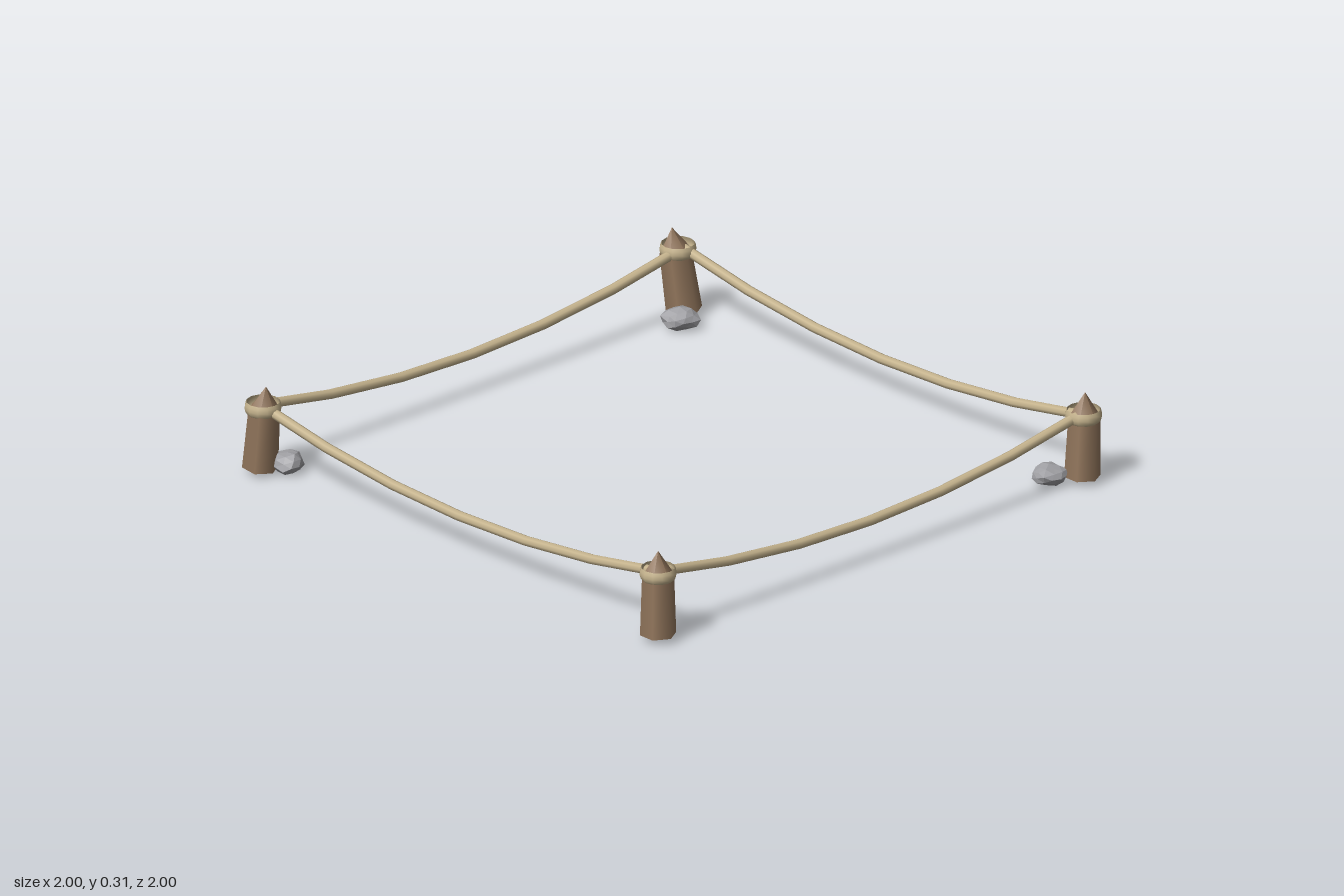
import * as THREE from 'three';

const wood = new THREE.MeshStandardMaterial({ color: 0x93775d });
wood.name = 'wood';
const rope = new THREE.MeshStandardMaterial({ color: 0xc6b48e });
rope.name = 'rope';
rope.side = THREE.DoubleSide;
const stone = new THREE.MeshStandardMaterial({ color: 0xa0a0a4 });
stone.name = 'stone';
stone.flatShading = true;

const P = 0.937;      // post distance from the centre
const R = 0.933;      // rope distance from the centre
const BASE = 0.02;    // underside of the posts
const KNOT = 0.235;   // height where the ropes are tied

function add(parent, name, geometry, material) {
  const mesh = new THREE.Mesh(geometry, material);
  mesh.name = name;
  parent.add(mesh);
  return mesh;
}

// Hexagonal stake with a sharpened tip leaning by (dx, dz), tied with an upright rope band
function makePost(name, x, z, dx, dz) {
  const post = new THREE.Group();
  post.name = name;
  post.position.set(x, BASE, z);

  const stake = new THREE.Group();
  stake.name = 'stake';
  const shaft = add(stake, 'shaft', new THREE.CylinderGeometry(0.053, 0.06, 0.21, 6), wood);
  shaft.position.y = 0.105;
  const tip = add(stake, 'tip', new THREE.ConeGeometry(0.054, 0.085, 6), wood);
  tip.position.y = 0.2475;
  shaft.rotation.y = tip.rotation.y = Math.PI / 6;
  stake.quaternion.setFromUnitVectors(
    new THREE.Vector3(0, 1, 0), new THREE.Vector3(dx, 0.29, dz).normalize());

  const profile = [[0.052, 0.192], [0.058, 0.2], [0.061, 0.212], [0.059, 0.224], [0.055, 0.234]]
    .map(([r, y]) => new THREE.Vector2(r, y));
  const band = add(post, 'ropeBand', new THREE.LatheGeometry(profile, 12), rope);
  band.position.set(dx * 0.5, 0, dz * 0.5);
  post.add(stake);
  return post;
}

// Faceted, flattened stone; equal corners get equal offsets so it stays closed
function rockGeometry(rx, ry, rz, seed) {
  const geo = new THREE.IcosahedronGeometry(1, 1);
  const p = geo.attributes.position;
  const v = new THREE.Vector3();
  for (let i = 0; i < p.count; i++) {
    v.fromBufferAttribute(p, i);
    const k = 0.96 + 0.15 * Math.sin(v.x * 4.1 + seed) * Math.cos(v.z * 3.7 + seed * 2 + v.y * 2);
    p.setXYZ(i, v.x * k * rx, Math.max(v.y * k, -0.85) * ry, v.z * k * rz);
  }
  geo.computeVertexNormals();
  return geo;
}

// Rope sagging between two corners
function ropeGeometry(x0, z0, x1, z1) {
  const curve = new THREE.QuadraticBezierCurve3(
    new THREE.Vector3(x0, KNOT, z0),
    new THREE.Vector3((x0 + x1) / 2, 0.04, (z0 + z1) / 2),
    new THREE.Vector3(x1, KNOT, z1));
  return new THREE.TubeGeometry(curve, 6, 0.017, 8);
}

export function createModel() {
  const model = new THREE.Group();
  model.name = 'ropeFence';

  // Corner posts
  model.add(
    makePost('frontLeftPost', P, P, 0, 0),
    makePost('backLeftPost', P, -P, 0, -0.013),
    makePost('backRightPost', -0.928, -0.933, -0.028, 0.028),
    makePost('frontRightPost', -0.932, P, 0.028, 0));

  // Ropes around the square
  const corners = [[R, R], [R, -R], [-R, -R], [-R, R]];
  const sides = ['left', 'back', 'right', 'front'];
  corners.forEach((a, i) => {
    const b = corners[(i + 1) % 4];
    add(model, sides[i] + 'Rope', ropeGeometry(...a, ...b), rope);
  });

  // Stones on the inner side of each post: x, z, radii, seed
  const rocks = [
    ['frontLeftRock', 0.885, 0.88, 0.068, 0.036, 0.052, 1.3],
    ['backLeftRock', 0.88, -0.843, 0.06, 0.036, 0.06, 2.6],
    ['backRightRock', -0.86, -0.85, 0.064, 0.037, 0.064, 4.2],
    ['frontRightRock', -0.874, 0.87, 0.058, 0.04, 0.058, 5.5],
  ];
  for (const [name, x, z, rx, ry, rz, seed] of rocks) {
    const rock = add(model, name, rockGeometry(rx, ry, rz, seed), stone);
    rock.geometry.computeBoundingBox();
    rock.position.set(x, 0.006 - rock.geometry.boundingBox.min.y, z);
  }
  // Rest the last, lowest stone on the ground
  model.getObjectByName('frontRightRock').position.y -= 0.006;
  return model;
}
